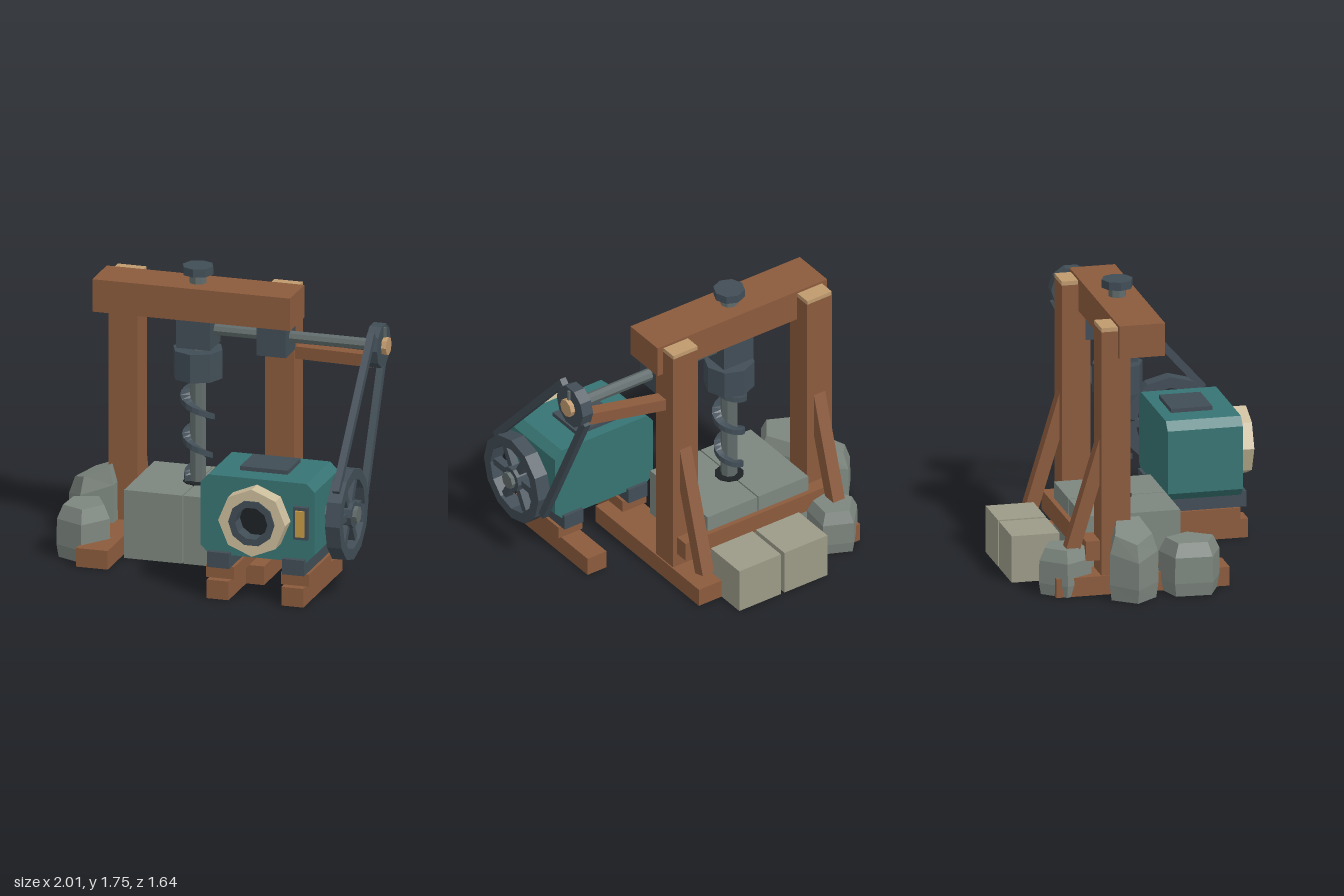
import * as THREE from 'three';

const mat = (color) => new THREE.MeshStandardMaterial({ color, flatShading: true });
const M = {
  wood: mat(0x8b5b3d), grain: mat(0xc09a6e), iron: mat(0x414d56), steel: mat(0x616b6b),
  teal: mat(0x377473), cream: mat(0xcbbd9c), brass: mat(0xc79c45), black: mat(0x1d2224),
  stone: mat(0x7d867f), pale: mat(0x9c9a87),
};

export function createModel() {
  const root = new THREE.Group();

  const add = (name, geo, m, pos = [0, 0, 0]) => {
    const mesh = new THREE.Mesh(geo, m);
    mesh.name = name;
    mesh.position.set(...pos);
    root.add(mesh);
    return mesh;
  };
  // box from its min and max along each axis
  const box = (name, m, [x0, x1], [y0, y1], [z0, z1]) =>
    add(name, new THREE.BoxGeometry(x1 - x0, y1 - y0, z1 - z0), m,
      [(x0 + x1) / 2, (y0 + y1) / 2, (z0 + z1) / 2]);
  // square bar between two points
  const bar = (name, m, a, b, w, d) => {
    const A = new THREE.Vector3(...a), B = new THREE.Vector3(...b);
    const mesh = add(name, new THREE.BoxGeometry(w, d, A.distanceTo(B)), m);
    mesh.position.copy(A).add(B).multiplyScalar(0.5);
    mesh.lookAt(B);
    return mesh;
  };
  const rod = (name, m, r, y0, y1, x, z, sides = 8) =>
    add(name, new THREE.CylinderGeometry(r, r, y1 - y0, sides), m, [x, (y0 + y1) / 2, z]);
  const axle = (name, m, r, x0, x1, y, z, sides = 8) => {
    const mesh = add(name, new THREE.CylinderGeometry(r, r, x1 - x0, sides), m, [(x0 + x1) / 2, y, z]);
    mesh.rotation.z = Math.PI / 2;
    return mesh;
  };
  const polygon = (r, n) => Array.from({ length: n }, (_, i) => {
    const a = (i / n) * Math.PI * 2;
    return new THREE.Vector2(Math.cos(a) * r, Math.sin(a) * r);
  });
  // polygonal ring along z
  const ring = (R, r, depth, n) => {
    const s = new THREE.Shape(polygon(R, n));
    s.holes.push(new THREE.Path(polygon(r, n).reverse()));
    return new THREE.ExtrudeGeometry(s, { depth, bevelEnabled: false });
  };

  // timber frame, mirrored about the frame's own centre
  for (const [side, x] of [['right', -0.665], ['left', 0.3]]) {
    box(side + 'Post', M.wood, [x - 0.09, x + 0.09], [0.1, 1.61], [-0.365, -0.19]);
    box(side + 'PostEndGrain', M.grain, [x - 0.088, x + 0.088], [1.61, 1.635], [-0.365, -0.2]);
    box(side + 'Foot', M.wood, [x - 0.098, x + 0.098], [0, 0.115], [-0.64, 0.41]);
    bar(side + 'Brace', M.wood, [x, 0.93, -0.325], [x, 0.155, -0.56], 0.082, 0.082);
  }
  box('topBeam', M.wood, [-0.79, 0.43], [1.45, 1.65], [-0.265, 0.012]);
  box('backRail', M.wood, [-0.72, 0.36], [0.2, 0.32], [-0.45, -0.35]);
  bar('axleBracket', M.wood, [0.32, 1.24, -0.27], [0.92, 1.275, -0.135], 0.08, 0.075);

  // drill
  const dx = -0.182, dz = -0.127;
  rod('drillCap', M.iron, 0.094, 1.705, 1.755, dx, dz);
  rod('drillNeck', M.steel, 0.053, 1.64, 1.71, dx, dz);
  box('drillBearing', M.iron, [-0.287, -0.075], [1.265, 1.45], [dz - 0.1, dz + 0.1]);
  rod('chuckNeck', M.steel, 0.06, 1.22, 1.29, dx, dz);
  rod('chuck', M.iron, 0.152, 1.07, 1.245, dx, dz);
  rod('drillShaft', M.steel, 0.05, 0.43, 1.09, dx, dz);
  rod('drillHole', M.black, 0.088, 0.41, 0.426, dx, dz, 10);

  // screw thread: a rectangular section swept down a tapering helix
  const pos = [], idx = [], steps = 42;
  for (let i = 0; i <= steps; i++) {
    const t = i / steps, a = Math.PI * 2 * (1 - 2.6 * t), y = 1.07 - 0.625 * t;
    const R = 0.112 - 0.03 * t;
    for (const [r, h] of [[0.04, -0.018], [R, -0.018], [R, 0.018], [0.04, 0.018]])
      pos.push(Math.cos(a) * r, y + h, Math.sin(a) * r);
    if (i < steps) for (let k = 0; k < 4; k++) {
      const p = i * 4 + k, q = i * 4 + (k + 1) % 4;
      idx.push(p, q, p + 4, q, q + 4, p + 4);
    }
  }
  const e = steps * 4;
  idx.push(0, 2, 1, 0, 3, 2, e, e + 1, e + 2, e, e + 2, e + 3);
  const thread = new THREE.BufferGeometry();
  thread.setAttribute('position', new THREE.Float32BufferAttribute(pos, 3));
  thread.setIndex(idx);
  thread.computeVertexNormals();
  const threadMat = M.iron.clone();
  threadMat.side = THREE.DoubleSide;
  add('drillThread', thread, threadMat, [dx, 0, dz]);

  // upper drive axle and pulley
  const py = 1.37;
  box('axleBearing', M.iron, [0.21, 0.39], [1.265, 1.45], [-0.22, -0.03]);
  axle('driveAxle', M.steel, 0.037, -0.09, 0.97, py, dz);
  axle('pulley', M.iron, 0.133, 0.89, 0.965, py, dz, 10);
  axle('pulleyHub', M.grain, 0.056, 0.95, 0.995, py, dz);
  box('pulleyKey', M.steel, [0.96, 0.98], [1.42, 1.485], [dz - 0.007, dz + 0.007]);

  // engine
  const c = 0.05, x0 = 0.1, x1 = 0.805, y0 = 0.265, y1 = 0.75;
  const body = new THREE.Shape([[x0 + c, y0], [x1 - c, y0], [x1, y0 + c], [x1, y1 - c],
    [x1 - c, y1], [x0 + c, y1], [x0, y1 - c], [x0, y0 + c]].map((p) => new THREE.Vector2(...p)));
  add('engineBody', new THREE.ExtrudeGeometry(body, { depth: 0.455, bevelEnabled: false }), M.teal, [0, 0, 0.25]);
  box('engineTopPlate', M.iron, [0.302, 0.595], [0.74, 0.775], [0.32, 0.57]);
  add('engineCollar', ring(0.207, 0.125, 0.11, 8), M.cream, [0.45, 0.51, 0.7]);
  add('intakeRing', ring(0.142, 0.1, 0.115, 10), M.iron, [0.45, 0.51, 0.705]);
  add('intakeBore', new THREE.CylinderGeometry(0.11, 0.11, 0.02, 10), M.black, [0.45, 0.51, 0.715]).rotation.x = Math.PI / 2;
  box('gaugeFrame', M.iron, [0.68, 0.77], [0.41, 0.61], [0.7, 0.735]);
  box('gauge', M.brass, [0.697, 0.753], [0.43, 0.59], [0.72, 0.75]);
  for (const x of [0.22, 0.682]) {
    box('engineSkid', M.wood, [x - 0.068, x + 0.068], [0, 0.115], [-0.005, 0.75]);
    box('engineBearer', M.wood, [x - 0.086, x + 0.086], [0.115, 0.19], [0.265, 0.7]);
    box('engineMount', M.iron, [x - 0.068, x + 0.068], [0.19, 0.285], [0.23, 0.74]);
  }

  // flywheel with six spokes
  const wy = 0.51, wz = 0.462;
  const rim = add('flywheelRim', ring(0.278, 0.212, 0.09, 12), M.iron, [0.88, wy, wz]);
  rim.rotation.y = Math.PI / 2;
  for (let i = 0; i < 3; i++)
    box('flywheelSpoke', M.iron, [0.9, 0.95], [wy - 0.022, wy + 0.022], [wz - 0.22, wz + 0.22])
      .rotation.x = (i * Math.PI) / 3;
  axle('flywheelHub', M.iron, 0.08, 0.885, 0.975, wy, wz, 10);
  axle('flywheelShaft', M.steel, 0.052, 0.79, 1, wy, wz);

  // two belt runs
  bar('beltFront', M.iron, [0.926, 0.7, 0.667], [0.926, 1.47, -0.015], 0.042, 0.045);
  bar('beltBack', M.iron, [0.926, 0.39, 0.195], [0.926, 1.3, -0.235], 0.042, 0.045);

  // cut stone
  box('drilledSlab', M.stone, [-0.545, -0.186], [0, 0.42], [-0.42, 0.165]);
  box('drilledSlab', M.stone, [-0.178, 0.18], [0, 0.42], [-0.42, 0.165]);
  box('cutBlock', M.pale, [-0.4, -0.09], [0, 0.285], [-0.82, -0.53]);
  box('cutBlock', M.pale, [-0.065, 0.235], [0, 0.285], [-0.82, -0.53]);

  // five-sided boulders with a bevelled, tilted crown
  const boulder = (x, z, rx, rz, h, turn, tilt) => {
    const profile = [[0, 0], [0.92, 0], [1, 0.25], [0.98, 0.74], [0.76, 1], [0, 1]]
      .map(([r, y]) => new THREE.Vector2(r, y));
    const g = new THREE.LatheGeometry(profile, 5);
    g.rotateY(turn).scale(rx, h, rz);
    const p = g.attributes.position;
    for (let i = 0; i < p.count; i++) p.setY(i, p.getY(i) * (1 + tilt * p.getX(i)));
    g.computeVertexNormals();
    add('boulder', g, M.stone, [x, 0, z]);
  };
  boulder(-0.835, -0.2, 0.17, 0.155, 0.41, -Math.PI / 2, 1.1);
  boulder(-0.79, 0.165, 0.165, 0.195, 0.32, 0.25, 0);
  boulder(-0.63, -0.56, 0.16, 0.165, 0.28, 3.35, 0);

  return root;
}
